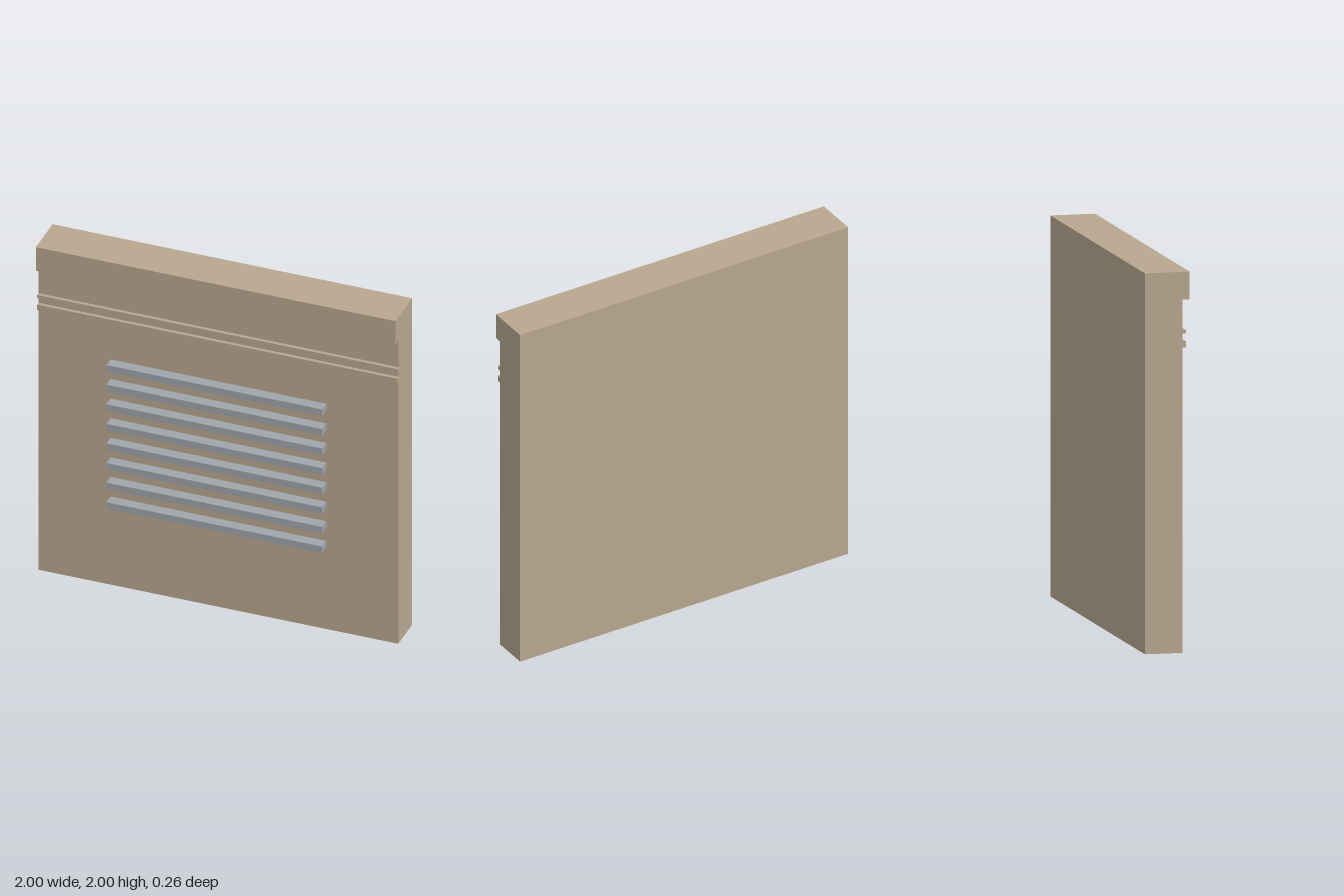
import * as THREE from 'three';

const stone = new THREE.MeshStandardMaterial({ name: 'tan stone', color: 0xb8a78f });
const metal = new THREE.MeshStandardMaterial({ name: 'grey metal', color: 0xa0a4ab });

const WALL_FRONT = 0.07;
const WALL_BACK = -0.13;

export function createModel() {
  const model = new THREE.Group();
  model.name = 'ventWallPanel';

  // Box between two heights and two depths, centred on x
  const bar = (name, material, width, y0, y1, z0, z1) => {
    const mesh = new THREE.Mesh(new THREE.BoxGeometry(width, y1 - y0, z1 - z0), material);
    mesh.position.set(0, (y0 + y1) / 2, (z0 + z1) / 2);
    mesh.name = name;
    model.add(mesh);
  };

  // Wall slab with an overhanging cornice along the top edge
  bar('wall', stone, 2, 0, 2, WALL_BACK, WALL_FRONT);
  bar('cornice', stone, 2, 1.855, 2, WALL_FRONT, 0.11);

  // Two thin mouldings below the cornice
  bar('upperMoulding', stone, 2, 1.677, 1.695, WALL_FRONT, 0.09);
  bar('lowerMoulding', stone, 2, 1.603, 1.636, WALL_FRONT, 0.09);

  // Eight evenly spaced vent slats
  for (let i = 0; i < 8; i++) {
    const y = 0.5 + i * 0.12;
    bar(`ventSlat${i + 1}`, metal, 1.2, y, y + 0.04, WALL_FRONT, 0.13);
  }

  return model;
}
